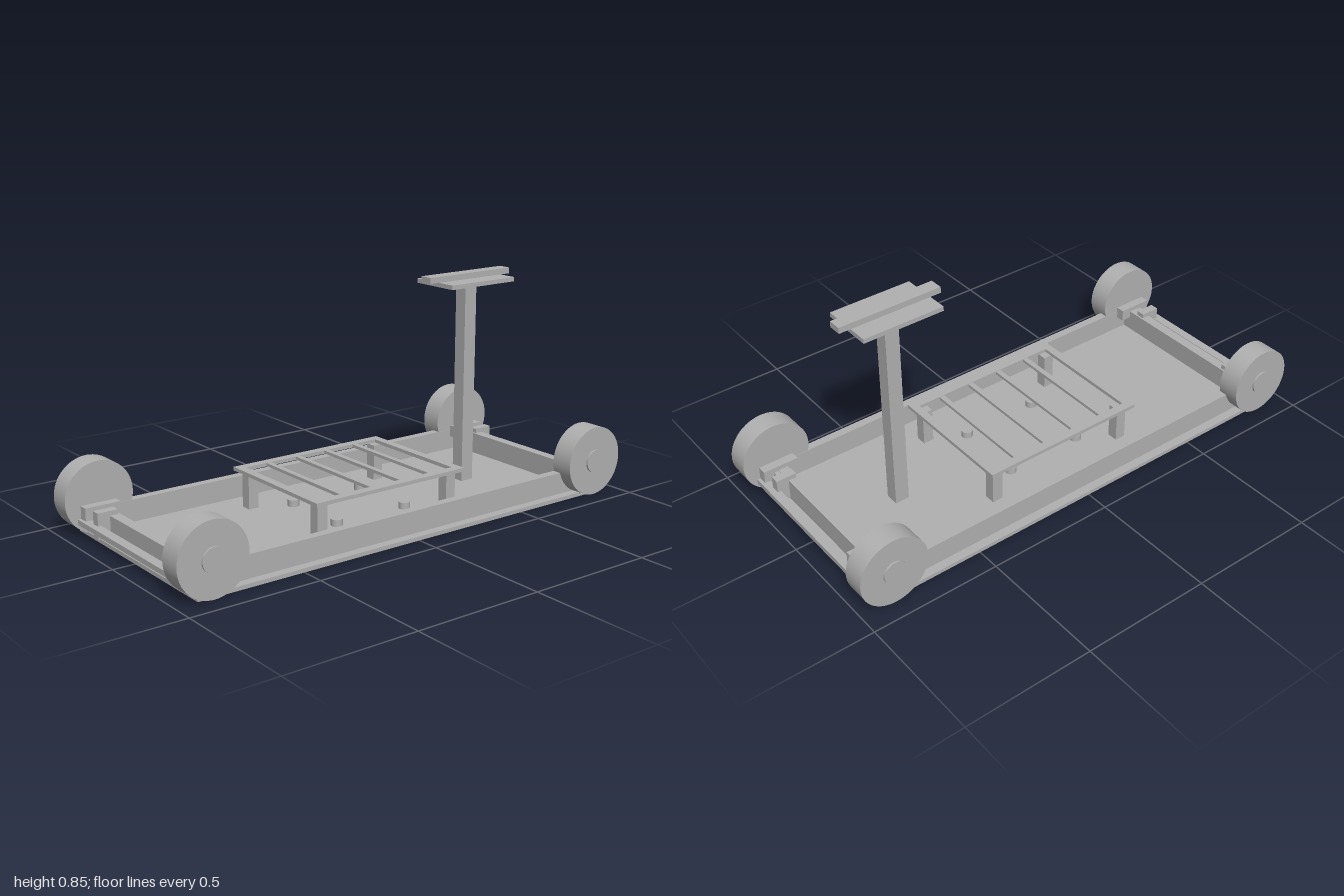
import * as THREE from 'three';

export function createModel() {
  const root = new THREE.Group();
  root.name = 'cart';
  const grey = new THREE.MeshStandardMaterial({ color: 0xb0b0b0 });
  grey.name = 'grey metal';

  const add = (name, geometry, x, y, z, parent = root) => {
    const mesh = new THREE.Mesh(geometry, grey);
    mesh.name = name;
    mesh.position.set(x, y, z);
    parent.add(mesh);
    return mesh;
  };
  // Box given by its limits on each axis
  const box = (name, x0, x1, y0, y1, z0, z1, parent) =>
    add(name, new THREE.BoxGeometry(x1 - x0, y1 - y0, z1 - z0),
      (x0 + x1) / 2, (y0 + y1) / 2, (z0 + z1) / 2, parent);
  const group = (name) => {
    const g = new THREE.Group();
    g.name = name;
    root.add(g);
    return g;
  };
  // Box centred on x and z
  const block = (name, x, z, w, d, y0, y1, parent) =>
    box(name, x - w / 2, x + w / 2, y0, y1, z - d / 2, z + d / 2, parent);

  // Deck with raised rails
  block('deck', 0, 0, 1.83, 0.82, 0, 0.015);
  for (const s of [-1, 1]) {
    block('sideRail', 0, s * 0.358, 1.76, 0.034, 0.015, 0.1);
    block('endRail', s * 0.862, 0, 0.04, 0.684, 0.015, 0.1);
    block('bumperBar', s * 0.935, 0, 0.036, 0.684, 0.05, 0.07);
  }

  // Wheels, hubs and their brackets at the four corners
  for (const sx of [-1, 1]) {
    for (const sz of [-1, 1]) {
      const corner = group('wheelAssembly');
      const tyre = new THREE.CylinderGeometry(0.135, 0.135, 0.088, 64).rotateX(Math.PI / 2);
      const hub = new THREE.CylinderGeometry(0.045, 0.045, 0.01, 40).rotateX(Math.PI / 2);
      add('wheel', tyre, sx * 0.865, 0.138, sz * 0.387, corner);
      add('hub', hub, sx * 0.865, 0.138, sz * 0.433, corner);
      block('wheelBracket', sx * 0.87, sz * 0.325, 0.14, 0.036, 0.07, 0.118, corner);
      block('clamp', sx * 0.89, sz * 0.251, 0.08, 0.035, 0.02, 0.118, corner);
      block('axleStub', sx * 0.88, sz * 0.288, 0.04, 0.04, 0.073, 0.098, corner);
    }
  }

  // Slatted rack on four legs
  const rack = group('rack');
  const outline = new THREE.Shape([[-0.34, -0.266], [0.34, -0.266], [0.34, 0.266], [-0.34, 0.266]]
    .map((p) => new THREE.Vector2(...p)));
  outline.holes.push(new THREE.Path([[-0.308, -0.232], [-0.308, 0.232], [0.308, 0.232], [0.308, -0.232]]
    .map((p) => new THREE.Vector2(...p))));
  const frame = new THREE.ExtrudeGeometry(outline, { depth: 0.014, bevelEnabled: false });
  frame.rotateX(-Math.PI / 2);
  add('rackFrame', frame, -0.005, 0.156, 0, rack);
  for (const x of [-0.208, -0.072, 0.063, 0.2]) {
    block('rackSlat', x, 0, 0.021, 0.466, 0.157, 0.169, rack);
  }
  for (const sx of [-1, 1]) {
    for (const sz of [-1, 1]) {
      block('rackLeg', -0.005 + sx * 0.297, sz * 0.219, 0.043, 0.043, 0.015, 0.157, rack);
      // Low pegs on the deck beneath the rack
      add('peg', new THREE.CylinderGeometry(0.022, 0.022, 0.026, 32),
        -0.005 + sx * 0.158, 0.028, sz * 0.137, rack);
    }
  }

  // Upright post with tray and handlebar
  const steering = group('steeringColumn');
  block('post', 0.567, 0, 0.056, 0.054, 0.015, 0.813, steering);
  block('tray', 0.564, 0, 0.318, 0.204, 0.812, 0.829, steering);
  block('handlebar', 0.565, 0, 0.406, 0.052, 0.829, 0.852, steering);

  return root;
}
